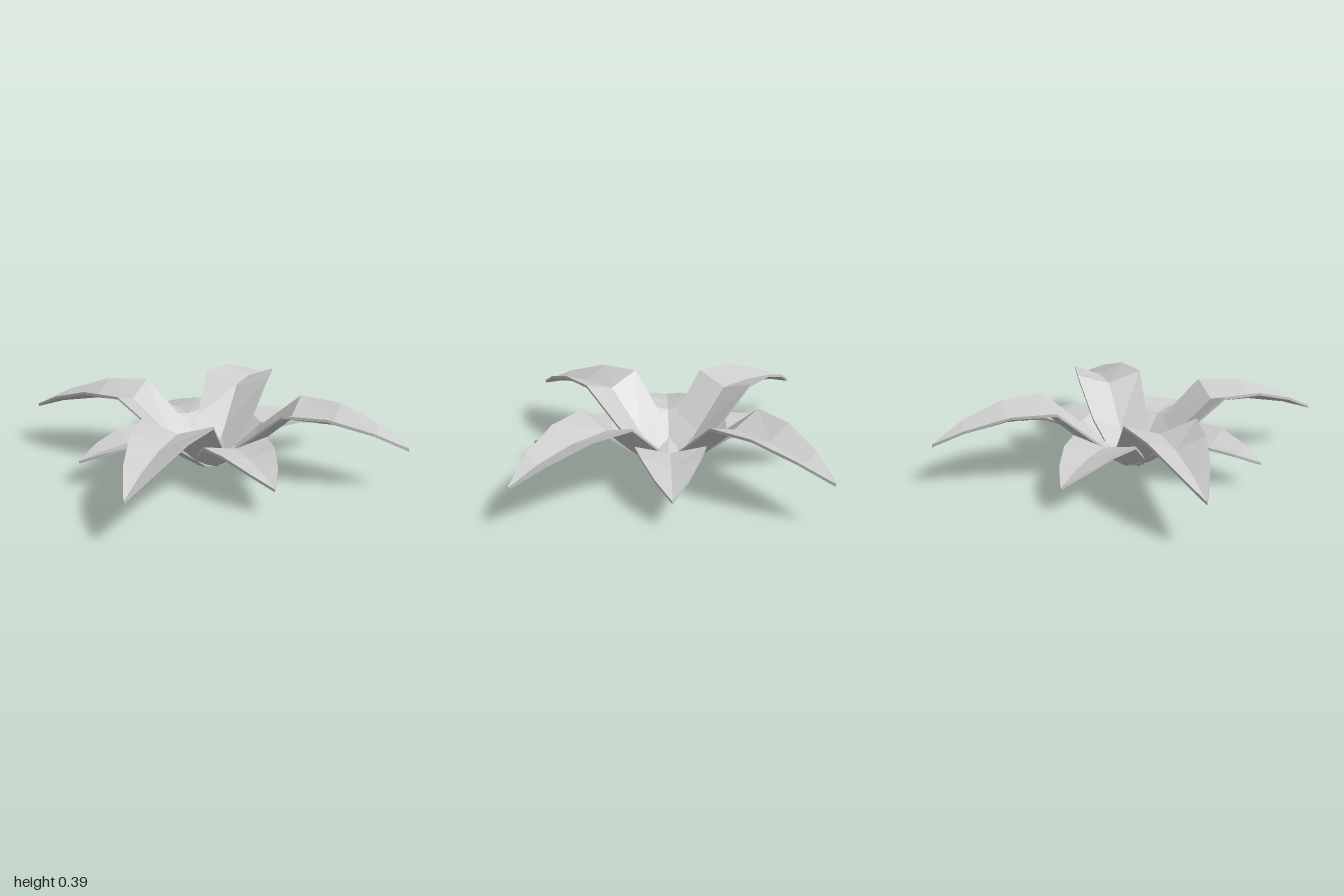
import * as THREE from 'three';

// Leaf stations: distance along, half width, midrib height, rim height
const STATIONS = [
  [0.0, 0.085, 0.014, 0.03],
  [0.11, 0.115, 0.035, 0.085],
  [0.23, 0.158, 0.125, 0.195],
  [0.452, 0.187, 0.325, 0.386],
  [0.675, 0.148, 0.32, 0.38],
  [0.893, 0.082, 0.28, 0.312],
  [1.06, 0.002, 0.226, 0.228],
];
const THICKNESS = 0.014;

// Thin V-shaped leaf running along +x, lofted through closed six-point sections
function leafGeometry(lengthScale, heightScale, widthScale) {
  const rings = STATIONS.map(([along, half, mid, rim]) => {
    const x = along * lengthScale;
    const w = half * widthScale;
    const m = mid * heightScale;
    const r = rim * heightScale;
    const t = Math.min(THICKNESS, m);
    return [
      [x, r, -w], [x, m, 0], [x, r, w],
      [x, r - t, w], [x, m - t, 0], [x, r - t, -w],
    ];
  });
  const positions = [];
  for (let i = 0; i < rings.length - 1; i++) {
    for (let j = 0; j < 6; j++) {
      const k = (j + 1) % 6;
      const a = rings[i][j], b = rings[i][k];
      const c = rings[i + 1][k], d = rings[i + 1][j];
      positions.push(...a, ...b, ...c, ...a, ...c, ...d);
    }
  }
  // Close the tip
  const tip = rings[rings.length - 1];
  for (const [a, b, c] of [[0, 1, 4], [0, 4, 5], [1, 2, 3], [1, 3, 4]]) {
    positions.push(...tip[a], ...tip[b], ...tip[c]);
  }
  const geometry = new THREE.BufferGeometry();
  geometry.setAttribute('position', new THREE.Float32BufferAttribute(positions, 3));
  geometry.computeVertexNormals();
  return geometry;
}

export function createModel() {
  const plant = new THREE.Group();
  plant.name = 'leafyPlant';
  const material = new THREE.MeshStandardMaterial({
    color: 0xcccccc, flatShading: true, side: THREE.DoubleSide,
  });

  // Four equal leaves a quarter turn apart
  const addWhorl = (name, geometry, startDegrees) => {
    for (let i = 0; i < 4; i++) {
      const leaf = new THREE.Mesh(geometry, material);
      leaf.name = `${name}${i + 1}`;
      leaf.rotation.y = -THREE.MathUtils.degToRad(startDegrees + i * 90);
      plant.add(leaf);
    }
  };
  addWhorl('largeLeaf', leafGeometry(1, 1, 1), 20);
  addWhorl('smallLeaf', leafGeometry(0.69, 0.6, 0.97), 65);

  return plant;
}
